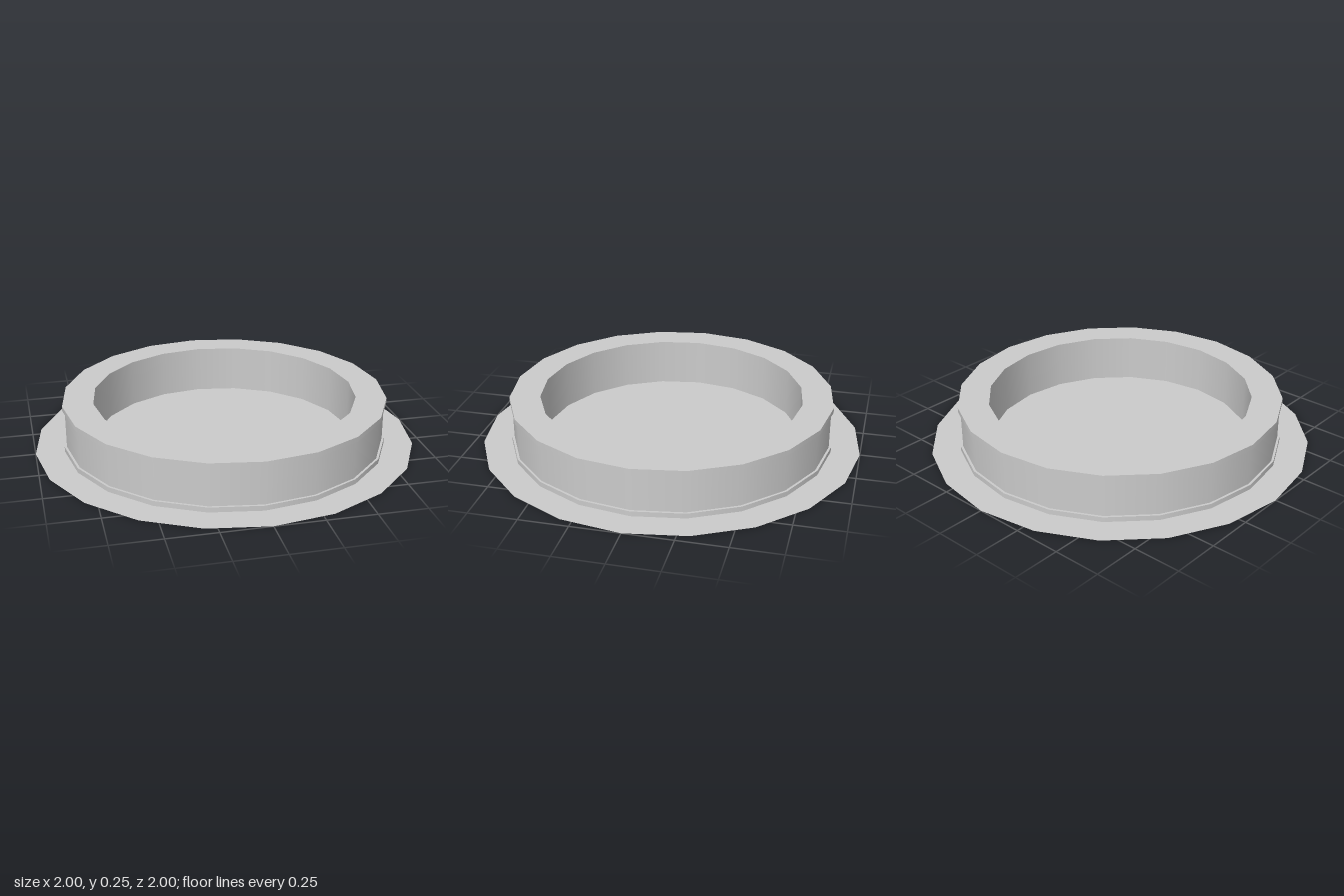
import * as THREE from 'three';
import { mergeGeometries } from 'three/addons/utils/BufferGeometryUtils.js';

const SIDES = 20;

// Revolve each span of a profile separately: smooth around, sharp at the profile corners
function revolve(profile) {
  const spans = [];
  for (let i = 0; i < profile.length - 1; i++) {
    const pts = [profile[i], profile[i + 1]].map(([r, y]) => new THREE.Vector2(r, y));
    spans.push(new THREE.LatheGeometry(pts, SIDES));
  }
  return mergeGeometries(spans);
}

export function createModel() {
  const group = new THREE.Group();
  group.name = 'roundBasin';
  const material = new THREE.MeshStandardMaterial({ color: 0xcccccc, side: THREE.DoubleSide });

  const add = (name, geometry) => {
    const mesh = new THREE.Mesh(geometry, material);
    mesh.name = name;
    group.add(mesh);
    return mesh;
  };

  const rim = 0.85, wall = 0.838, inner = 0.69;
  const top = 0.253, lip = 0.026;

  // Flat apron lying on the ground around the basin
  add('groundApron', revolve([[1, 0], [rim, 0]]));

  // Outer wall with a thin lip at the foot and at the top
  add('outerWall', revolve([
    [rim, 0], [rim, lip], [wall, lip],
    [wall, top - lip], [rim, top - lip], [rim, top],
  ]));

  // Wide flat top of the hollow wall
  add('topRing', revolve([[rim, top], [inner, top]]));

  // Inner wall facing the centre
  add('innerWall', revolve([[inner, top], [inner, 0]]));

  // Basin floor
  add('floor', new THREE.CircleGeometry(inner, SIDES).rotateX(-Math.PI / 2));

  return group;
}
